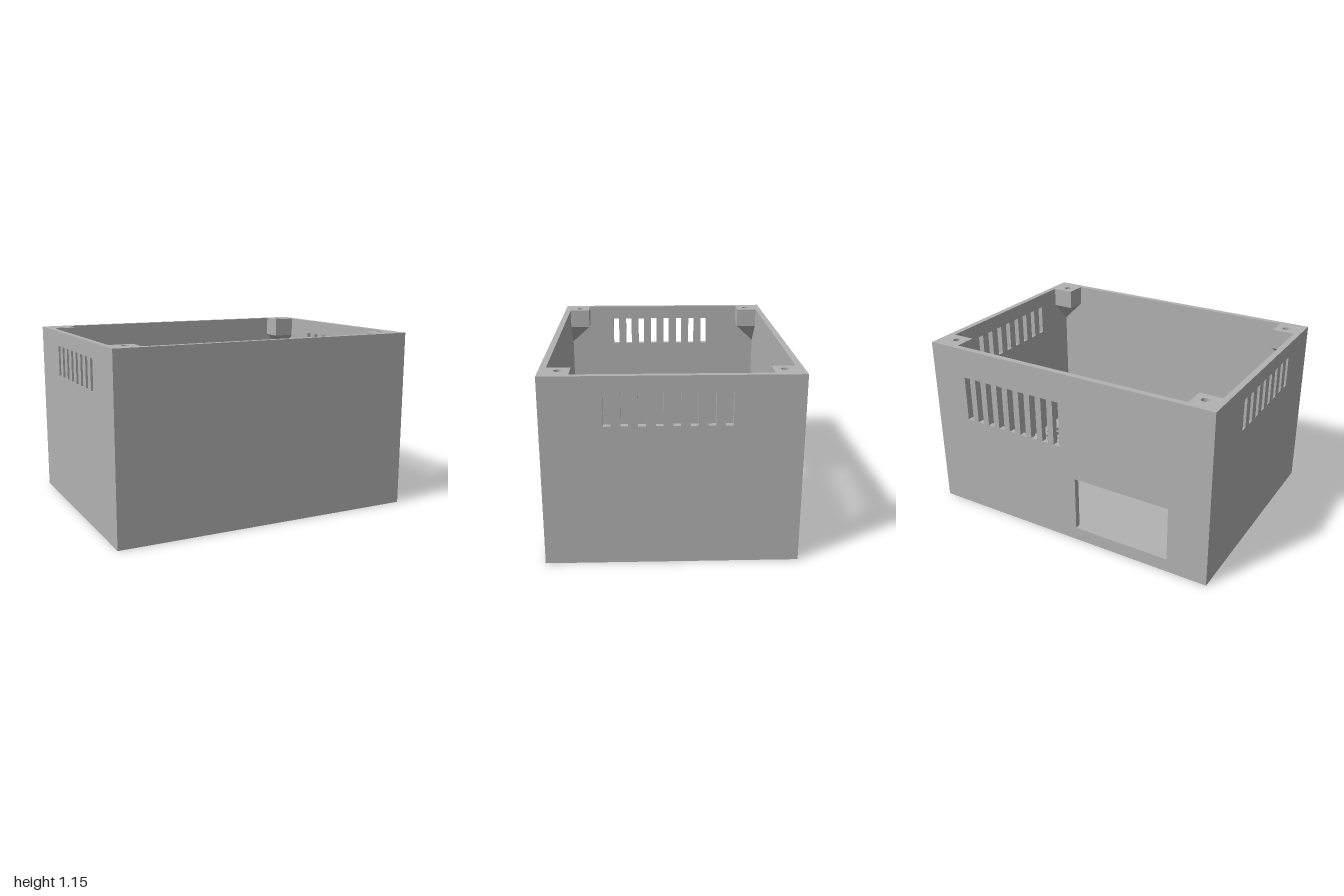
import * as THREE from 'three';
import { ConvexGeometry } from 'three/addons/geometries/ConvexGeometry.js';

const H = 1.15, HX = 1, HZ = 0.75, T = 0.0385; // height, half sizes, wall thickness
const IX = HX - T, IZ = HZ - T;                // inner faces of the walls

const grey = new THREE.MeshStandardMaterial({ color: 0xb2b2b2 });
grey.name = 'grey plastic';

// Closed outlines
const polygon = (cx, cy, r, sides) => Array.from({ length: sides }, (_, i) => {
  const a = (i / sides) * Math.PI * 2;
  return new THREE.Vector2(cx + r * Math.cos(a), cy + r * Math.sin(a));
});
const rect = (x0, y0, x1, y1) =>
  [[x0, y0], [x1, y0], [x1, y1], [x0, y1]].map(([x, y]) => new THREE.Vector2(x, y));

// Flat plate with holes cut through it
function plate(outline, holes, depth) {
  const shape = new THREE.Shape(outline);
  shape.holes = holes.map((h) => new THREE.Path(h));
  return new THREE.ExtrudeGeometry(shape, { depth, bevelEnabled: false });
}

// Row of upright vent slots
const slots = (count, start, pitch, width, y0, y1) => Array.from({ length: count }, (_, i) =>
  rect(start + i * pitch, y0, start + i * pitch + width, y1));

export function createModel() {
  const model = new THREE.Group();
  model.name = 'ventilatedEnclosure';
  const add = (name, geometry, parent = model) => {
    const mesh = new THREE.Mesh(geometry, grey);
    mesh.name = name;
    parent.add(mesh);
    return mesh;
  };

  // Floor: hexagonal fan grille, fan screw holes and mounting holes
  const floorHoles = [];
  const grilleRows = [[0.468, 5], [0.431, 6], [0.393, 7], [0.355, 8],
    [0.393, 7], [0.355, 7], [0.393, 6], [0.507, 4]]; // first x, count
  grilleRows.forEach(([x, count], row) => {
    for (let i = 0; i < count; i++) {
      floorHoles.push(polygon(x + i * 0.0757, -(0.121 + row * 0.066), 0.029, 6));
    }
  });
  const roundHoles = [[0.35, 0.086], [0.877, 0.086], [0.35, 0.613], [0.877, 0.613],
    [0.865, -0.077], [0.88, -0.63], [-0.88, -0.63], [-0.88, 0.63]];
  roundHoles.forEach(([x, z]) => floorHoles.push(polygon(x, -z, 0.029, 24)));
  add('floor', plate(rect(-HX, -HZ, HX, HZ), floorHoles, T).rotateX(-Math.PI / 2));

  // Front wall, plain
  add('frontWall', plate(rect(-HX, T, HX, H), [], T).translate(0, 0, IZ));

  // Back wall: connector opening and vents
  const backHoles = [rect(-0.733, 0.088, -0.08, 0.452), ...slots(9, 0.026, 0.085, 0.043, 0.655, 0.955)];
  add('backWall', plate(rect(-HX, T, HX, H), backHoles, T).translate(0, 0, -HZ));

  // Side walls with vents, drawn along -z
  for (const [name, x] of [['leftWall', IX], ['rightWall', -HX]]) {
    const vents = slots(8, -0.39, 0.0986, 0.043, 0.856, 1.055);
    add(name, plate(rect(-IZ, T, IZ, H), vents, T).rotateY(Math.PI / 2).translate(x, 0, 0));
  }

  // Lid screw posts: drilled block on a support tapering into the corner
  const px = 0.815, pz = 0.572, postH = 0.13, taper = 0.145;
  for (const sx of [-1, 1]) for (const sz of [-1, 1]) {
    const post = new THREE.Group();
    post.name = 'screwPost';
    model.add(post);
    const y = H - postH;
    const block = plate(rect(sx * px, -sz * pz, sx * IX, -sz * IZ),
      [polygon(sx * 0.885, -sz * 0.64, 0.024, 24)], postH);
    add('postBlock', block.rotateX(-Math.PI / 2).translate(0, y, 0), post);
    const corners = [[px, y, pz], [IX, y, pz], [px, y, IZ], [IX, y, IZ], [IX, y - taper, IZ]];
    add('postSupport', new ConvexGeometry(
      corners.map(([x, cy, z]) => new THREE.Vector3(sx * x, cy, sz * z))), post);
  }

  // Small locating pegs on the floor beside the long walls
  for (const sz of [-1, 1]) {
    add('floorPeg', new THREE.CylinderGeometry(0.024, 0.024, 0.03, 24).translate(0.148, T + 0.015, sz * 0.684));
  }

  return model;
}
